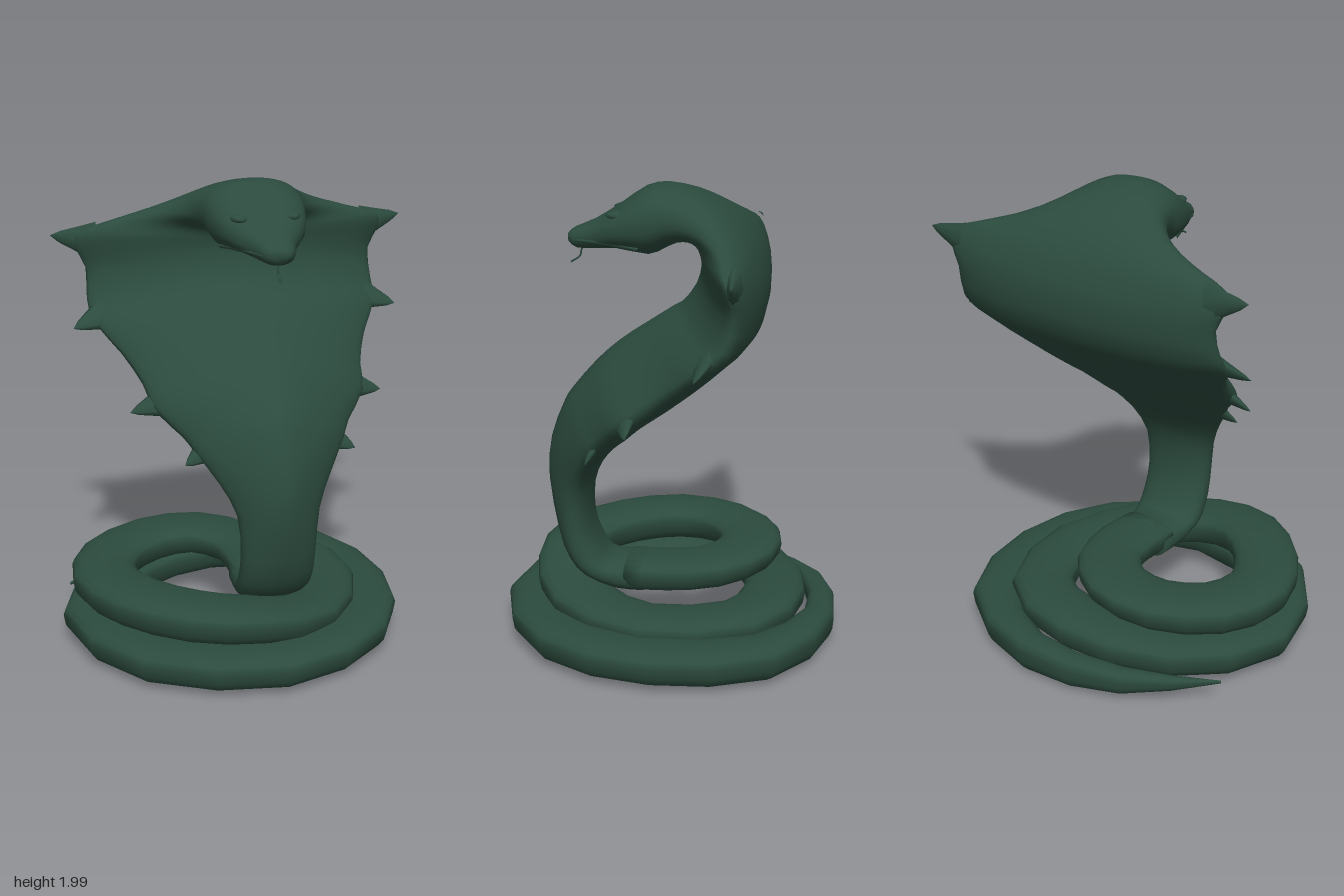
import * as THREE from 'three';

const CX = 0.025; // middle plane of the raised body
const scales = new THREE.MeshStandardMaterial({ color: 0x2c4b3e });
scales.name = 'darkGreenScales';

const V = (x, y, z) => new THREE.Vector3(x, y, z);
const spline = (pts) => new THREE.CatmullRomCurve3(pts, false, 'catmullrom');
const soft = (v, e) => Math.sign(v) * Math.pow(Math.abs(v), e);
const { lerp, smoothstep } = THREE.MathUtils;

function mesh(name, geometry) {
  const m = new THREE.Mesh(geometry, scales);
  m.name = name;
  return m;
}

// Skin a list of equal-sized rings and close both ends
function loft(rings) {
  const n = rings[0].length, pos = [], index = [];
  for (const ring of rings) for (const p of ring) pos.push(p.x, p.y, p.z);
  for (let i = 0; i < rings.length - 1; i++) {
    for (let j = 0; j < n; j++) {
      const a = i * n + j, b = i * n + (j + 1) % n;
      index.push(a, b, a + n, b, b + n, a + n);
    }
  }
  const last = (rings.length - 1) * n;
  for (let j = 1; j < n - 1; j++) {
    index.push(0, j + 1, j, last, last + j, last + j + 1);
  }
  const g = new THREE.BufferGeometry();
  g.setAttribute('position', new THREE.Float32BufferAttribute(pos, 3));
  g.setIndex(index);
  g.computeVertexNormals();
  return g;
}

// Raised body, hood and head: belly z, y / back z, y / half width
const BODY = [
  [0.10, 0.215, 0.10, 0.375, 0.13], [0.22, 0.225, 0.20, 0.37, 0.14],
  [0.36, 0.29, 0.25, 0.37, 0.157], [0.43, 0.37, 0.29, 0.43, 0.16],
  [0.48, 0.50, 0.325, 0.53, 0.16], [0.52, 0.72, 0.325, 0.68, 0.175],
  [0.505, 0.90, 0.28, 0.80, 0.24], [0.45, 1.05, 0.20, 0.90, 0.32],
  [0.41, 1.12, 0.14, 0.95, 0.36], [0.30, 1.25, 0.06, 1.03, 0.455],
  [0.20, 1.34, -0.05, 1.11, 0.48], [0.10, 1.41, -0.18, 1.22, 0.54],
  [0.00, 1.475, -0.30, 1.34, 0.625], [-0.06, 1.51, -0.40, 1.45, 0.64],
  [-0.12, 1.59, -0.42, 1.60, 0.635], [-0.14, 1.67, -0.40, 1.70, 0.68],
  [-0.135, 1.72, -0.37, 1.77, 0.66], [-0.125, 1.74, -0.335, 1.82, 0.54],
  [-0.11, 1.76, -0.29, 1.87, 0.41], [-0.09, 1.772, -0.22, 1.925, 0.31],
  [-0.05, 1.77, -0.12, 1.975, 0.245], [0.00, 1.745, 0.00, 2.00, 0.215],
  [0.07, 1.715, 0.09, 1.985, 0.205], [0.20, 1.735, 0.20, 1.91, 0.165],
  [0.30, 1.728, 0.30, 1.848, 0.095], [0.375, 1.728, 0.385, 1.812, 0.064],
  [0.408, 1.75, 0.412, 1.79, 0.035],
];

function raisedBody() {
  const belly = spline(BODY.map((r) => V(r[4], r[1], r[0])));
  const back = spline(BODY.map((r) => V(0, r[3], r[2])));
  const rings = [], steps = (BODY.length - 1) * 2, sides = 40;
  for (let i = 0; i <= steps; i++) {
    const f = belly.getPoint(i / steps), b = back.getPoint(i / steps);
    const w = f.x;
    f.x = 0;
    // k is 0 on the round base and head, 1 along the spread hood
    const k = smoothstep(i / 2, 3, 6) * (1 - smoothstep(i / 2, 17, 20.5));
    const mid = f.clone().lerp(b, 0.5 + 0.18 * k);
    const toBelly = f.clone().sub(mid), toBack = b.clone().sub(mid);
    const ring = [];
    for (let j = 0; j < sides; j++) {
      const a = (j / sides) * Math.PI * 2;
      const s = soft(Math.sin(a), 0.87), c = Math.cos(a);
      // the hood slopes from the belly ridge down to its thin rim
      const tent = 0.7 * (1 - Math.pow(Math.abs(c), 1.3)) - 0.3 * s;
      const p = mid.clone();
      if (s > 0) p.addScaledVector(toBack, s);
      else p.addScaledVector(toBelly, lerp(-s, tent, k));
      p.x = CX + w * soft(c, lerp(0.87, 1, k));
      ring.push(p);
    }
    rings.push(ring);
  }
  return loft(rings);
}

// Coils from under the neck down to the tail: x, y, z, half width, half height
const COIL = [
  [0.03, 0.295, 0.17, 0.135, 0.078], [0.04, 0.30, 0.0, 0.14, 0.075],
  [0.0, 0.305, -0.18, 0.14, 0.073], [-0.15, 0.31, -0.32, 0.14, 0.073],
  [-0.36, 0.30, -0.33, 0.14, 0.078], [-0.56, 0.29, -0.20, 0.14, 0.083],
  [-0.635, 0.285, 0.02, 0.14, 0.088], [-0.54, 0.285, 0.25, 0.14, 0.088],
  [-0.34, 0.28, 0.43, 0.14, 0.088], [-0.10, 0.25, 0.465, 0.14, 0.085],
  [0.17, 0.19, 0.36, 0.14, 0.085], [0.35, 0.165, 0.05, 0.135, 0.085],
  [0.26, 0.165, -0.33, 0.135, 0.085], [-0.05, 0.16, -0.465, 0.135, 0.085],
  [-0.45, 0.13, -0.37, 0.13, 0.085], [-0.685, 0.105, -0.02, 0.13, 0.085],
  [-0.495, 0.105, 0.42, 0.13, 0.085], [-0.02, 0.105, 0.595, 0.13, 0.085],
  [0.385, 0.105, 0.40, 0.13, 0.085], [0.53, 0.105, 0.0, 0.13, 0.085],
  [0.43, 0.10, -0.44, 0.11, 0.085], [0.05, 0.095, -0.665, 0.068, 0.083],
  [-0.38, 0.095, -0.615, 0.047, 0.055], [-0.72, 0.10, -0.39, 0.004, 0.006],
];

function coils() {
  const path = spline(COIL.map((r) => V(r[0], r[1], r[2])));
  const size = spline(COIL.map((r) => V(r[3], r[4], 0)));
  const steps = (COIL.length - 1) * 2, sides = 16, up = V(0, 1, 0), rings = [];
  for (let i = 0; i <= steps; i++) {
    const c = path.getPoint(i / steps), s = size.getPoint(i / steps);
    const side = up.clone().cross(path.getTangent(i / steps)).normalize();
    const ring = [];
    for (let j = 0; j < sides; j++) {
      const a = (j / sides) * Math.PI * 2, h = soft(Math.sin(a), 0.85);
      // widest above the middle, rounded underneath
      ring.push(c.clone()
        .addScaledVector(side, s.x * soft(Math.cos(a), 0.85))
        .addScaledVector(up, s.y * (0.35 + h * (h > 0 ? 0.65 : 1.35))));
    }
    rings.push(ring);
  }
  return loft(rings);
}

// Flat thorn flaring out of the hood rim; slope is the lean of the rim in radians
function spike(base, tip, radius, slope) {
  const d = tip.clone().sub(base), len = d.length();
  const profile = [[1, 0], [0.72, 0.3], [0.5, 0.55], [0.3, 0.78], [0, 1]]
    .map(([r, h]) => new THREE.Vector2(r * radius, h * len));
  const g = new THREE.LatheGeometry(profile, 8);
  g.scale(1, 1, 0.45);
  const out = d.normalize();
  const along = out.clone().cross(V(0, Math.sin(slope), Math.cos(slope))).normalize();
  const m = mesh('hoodSpike', g);
  m.position.copy(base);
  m.quaternion.setFromRotationMatrix(
    new THREE.Matrix4().makeBasis(along, out, along.clone().cross(out)));
  return m;
}

function knob(name, x, y, z, sx, sy, sz) {
  const m = mesh(name, new THREE.SphereGeometry(1, 12, 8));
  m.position.set(x, y, z);
  m.scale.set(sx, sy, sz);
  return m;
}

const tube = (name, pts, r) =>
  mesh(name, new THREE.TubeGeometry(new THREE.CatmullRomCurve3(pts), 14, r, 6));

export function createModel() {
  const model = new THREE.Group();
  model.name = 'hoodedSnake';
  model.add(mesh('raisedBodyHoodAndHead', raisedBody()), mesh('coilsAndTail', coils()));

  // Mirrored hood spikes: base x, y, z, tip x, y, z, radius, slope
  const SPIKES = [
    [0.60, 1.71, -0.325, 0.78, 1.742, -0.33, 0.08, 0],
    [0.57, 1.415, -0.225, 0.72, 1.37, -0.19, 0.08, 0.75],
    [0.41, 1.12, 0.115, 0.548, 1.08, 0.10, 0.07, 0.75],
    [0.26, 0.955, 0.265, 0.367, 0.90, 0.295, 0.065, 0.6],
  ];
  for (const side of [1, -1]) {
    const X = (x) => CX + side * x;
    for (const [bx, by, bz, tx, ty, tz, r, slope] of SPIKES) {
      model.add(spike(V(X(bx), by, bz), V(X(tx), ty, tz), r, slope));
    }
    // Face details
    model.add(knob('brow', X(0.108), 1.882, 0.165, 0.04, 0.02, 0.075));
    model.add(knob('eye', X(0.135), 1.858, 0.18, 0.018, 0.012, 0.026));
    model.add(knob('nostril', X(0.036), 1.803, 0.36, 0.014, 0.01, 0.022));
    model.add(tube('lip', [V(X(0.16), 1.755, 0.1), V(X(0.128), 1.766, 0.2),
      V(X(0.08), 1.768, 0.32), V(X(0.049), 1.766, 0.385), V(CX, 1.766, 0.403)], 0.009));
    // Forked tongue
    model.add(tube('tongue', [V(CX, 1.75, 0.34), V(CX, 1.72, 0.36),
      V(CX, 1.69, 0.368), V(X(0.008), 1.665, 0.405)], 0.004));
  }
  return model;
}
